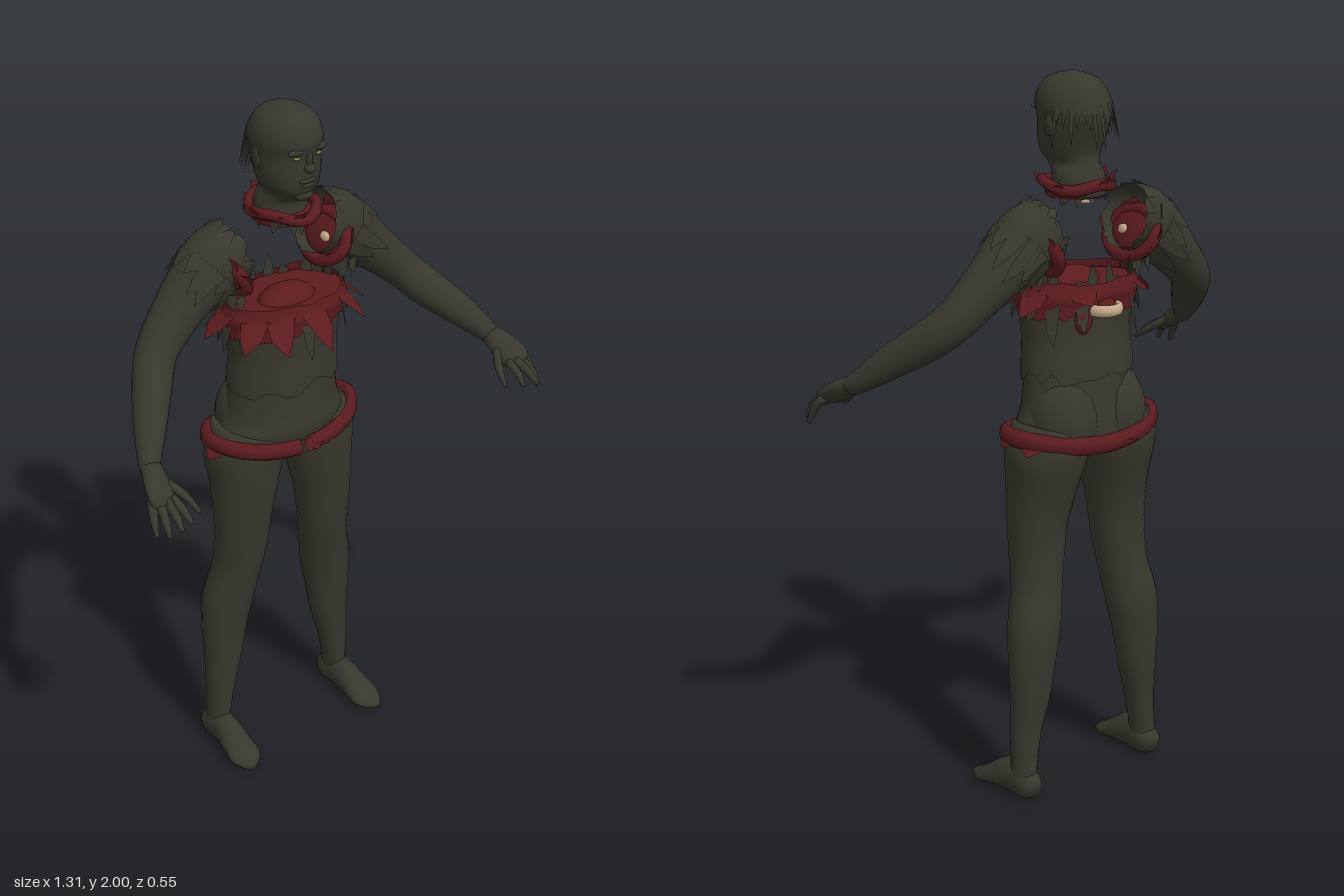
import * as THREE from 'three';

const material = (name, color, side = THREE.FrontSide) => {
  const m = new THREE.MeshStandardMaterial({ color, side });
  m.name = name;
  return m;
};
const V = (x, y, z) => new THREE.Vector3(x, y, z);

export function createModel() {
  const skin = material('dark skin', 0x37372d, THREE.DoubleSide);
  const red = material('torn flesh', 0x5c1b1e, THREE.DoubleSide);
  const bone = material('bone', 0xc6aa8a);
  const eyeMat = material('eye', 0x857a4a);
  const model = new THREE.Group();
  model.name = 'tornFigure';

  let seed = 7;
  const rand = () => (seed = (seed * 16807) % 2147483647) / 2147483647;
  const add = (name, geo, mat) => {
    const mesh = new THREE.Mesh(geo, mat);
    mesh.name = name;
    model.add(mesh);
    return mesh;
  };
  const ball = (name, mat, p, r) => {
    const mesh = add(name, new THREE.SphereGeometry(1, 16, 12), mat);
    mesh.position.set(...p);
    mesh.scale.set(...r);
  };

  // Smooth skin through rows of [x, y, z, radiusU, radiusV]; ends may be ragged or capped
  const loft = (rows, { n = 24, steps = 4, ref = V(0, 0, 1), upright = false, jag0 = 0, jag1 = 0, cap0 = true, cap1 = true } = {}) => {
    const rings = [];
    const row = i => rows[Math.max(0, Math.min(rows.length - 1, i))];
    for (let k = 0; k <= (rows.length - 1) * steps; k++) {
      const i = Math.floor(k / steps), t = k / steps - i;
      rings.push(row(i).map((b, c) => {
        const a = row(i - 1)[c], d = row(i + 1)[c], e = row(i + 2)[c];
        return b + 0.5 * t * (d - a + t * (2 * a - 5 * b + 4 * d - e + t * (3 * (b - d) + e - a)));
      }));
    }
    const pos = [], idx = [], last = rings.length - 1;
    const centre = i => V(...rings[Math.max(0, Math.min(last, i))].slice(0, 3));
    rings.forEach((r, i) => {
      const t = upright ? V(0, 1, 0) : centre(i + 1).sub(centre(i - 1)).normalize();
      const u = ref.clone().cross(t).normalize(), v = t.clone().cross(u);
      for (let j = 0; j < n; j++) {
        const a = j / n * Math.PI * 2;
        const shift = i === 0 ? -jag0 * rand() : i === last ? jag1 * rand() : 0;
        const p = centre(i).addScaledVector(u, Math.cos(a) * r[3]).addScaledVector(v, Math.sin(a) * r[4]).addScaledVector(t, shift);
        pos.push(p.x, p.y, p.z);
        if (i < last) {
          const q = i * n + j, w = i * n + (j + 1) % n;
          idx.push(q, w, q + n, w, w + n, q + n);
        }
      }
    });
    [[cap0, 0], [cap1, last]].forEach(([on, i]) => {
      if (!on) return;
      const c = pos.length / 3;
      pos.push(...rings[i].slice(0, 3));
      for (let j = 0; j < n; j++) {
        const q = i * n + j, w = i * n + (j + 1) % n;
        if (i) idx.push(q, w, c); else idx.push(w, q, c);
      }
    });
    const g = new THREE.BufferGeometry();
    g.setAttribute('position', new THREE.Float32BufferAttribute(pos, 3));
    g.setIndex(idx);
    g.computeVertexNormals();
    return g;
  };

  // Ragged flaps around an ellipse, spreading outward and along its axis
  const shards = (name, mat, c, axis, ru, rv, count, { out = 0.03, along = 0.05, width = 0.02, from = 0, to = Math.PI * 2 }) => {
    const t = axis.clone().normalize(), u = V(0, 0, 1).cross(t).normalize(), v = t.clone().cross(u);
    const pos = [];
    for (let k = 0; k < count; k++) {
      const a = from + (k + 0.6 * rand()) / count * (to - from);
      const rad = u.clone().multiplyScalar(Math.cos(a)).addScaledVector(v, Math.sin(a));
      const tan = v.clone().multiplyScalar(Math.cos(a)).addScaledVector(u, -Math.sin(a));
      const p = V(...c).addScaledVector(u, Math.cos(a) * ru).addScaledVector(v, Math.sin(a) * rv);
      const size = 0.4 + 0.8 * rand();
      const at = (f, w) => p.clone().addScaledVector(rad, out * f * size).addScaledVector(t, along * f * size).addScaledVector(tan, w * width);
      const [A, B, C, D, T] = [at(0, -1), at(0, 1), at(0.6, 0.7), at(0.5, -0.8), at(1, rand() - 0.5)];
      [A, B, C, A, C, D, D, C, T].forEach(q => pos.push(q.x, q.y, q.z));
    }
    const g = new THREE.BufferGeometry();
    g.setAttribute('position', new THREE.Float32BufferAttribute(pos, 3));
    g.computeVertexNormals();
    add(name, g, mat);
  };

  // Rim of flesh along place(angle), closed unless a gap is left at the front
  const rim = (name, place, radius, gap = 0) => {
    const pts = Array.from({ length: 21 }, (_, i) => place(Math.PI / 2 + gap + i / (gap ? 20 : 21) * (Math.PI * 2 - gap)));
    return add(name, new THREE.TubeGeometry(new THREE.CatmullRomCurve3(pts, !gap), 40, radius, 6, !gap), red);
  };
  const UP = V(0, 1, 0), DOWN = V(0, -1, 0);

  // Head and neck
  add('headAndNeck', loft([
    [0, 1.68, -0.115, 0.074, 0.08], [0, 1.735, -0.115, 0.07, 0.07], [0, 1.765, -0.093, 0.06, 0.082],
    [0, 1.79, -0.082, 0.075, 0.088], [0, 1.83, -0.087, 0.086, 0.097], [0, 1.88, -0.097, 0.09, 0.107],
    [0, 1.92, -0.093, 0.093, 0.112], [0, 1.96, -0.09, 0.08, 0.095], [0, 1.985, -0.09, 0.055, 0.065],
    [0, 1.999, -0.09, 0.012, 0.015]], { upright: true, n: 32 }), skin);
  ball('nose', skin, [0, 1.853, 0.011], [0.016, 0.013, 0.018]);
  ball('noseBridge', skin, [0, 1.875, 0.008], [0.009, 0.028, 0.012]);
  ball('upperLip', skin, [0, 1.817, 0.004], [0.028, 0.007, 0.01]);
  ball('lowerLip', skin, [0, 1.804, 0.002], [0.025, 0.008, 0.01]);
  ball('chin', skin, [0, 1.772, -0.015], [0.03, 0.018, 0.02]);
  for (const s of [1, -1]) {
    ball('eye', eyeMat, [s * 0.034, 1.884, 0.003], [0.011, 0.004, 0.006]);
    ball('brow', skin, [s * 0.034, 1.902, 0.004], [0.028, 0.009, 0.01]);
    ball('ear', skin, [s * 0.088, 1.868, -0.1], [0.007, 0.03, 0.018]);
  }
  shards('hairStrands', skin, [0, 1.925, -0.095], DOWN, 0.092, 0.11, 20, { out: 0.022, along: 0.11, width: 0.006, from: Math.PI, to: Math.PI * 2 });

  // Neck wound
  rim('neckRim', a => V(0.083 * Math.cos(a), 1.707 + 0.008 * Math.sin(a * 3), -0.105 + 0.1 * Math.sin(a)), 0.016);
  add('neckWound', new THREE.CylinderGeometry(0.085, 0.08, 0.03, 24), red).position.set(0, 1.692, -0.11);
  add('neckBone', new THREE.CylinderGeometry(0.025, 0.025, 0.02, 10), bone).position.set(0, 1.672, -0.14);
  shards('neckTatters', red, [0, 1.703, -0.105], UP, 0.09, 0.1, 10, { out: 0.02, along: 0.03, width: 0.022 });
  shards('neckShreds', skin, [0, 1.7, -0.105], DOWN, 0.076, 0.088, 18, { out: 0, along: 0.042, width: 0.013 });

  // Pelvis and belly, the belly skin overlapping with a ragged edge
  add('pelvis', loft([
    [0, 1.0, -0.125, 0.03, 0.06], [0, 1.025, -0.125, 0.15, 0.11], [0, 1.06, -0.12, 0.195, 0.12], [0, 1.11, -0.118, 0.178, 0.118],
    [0, 1.16, -0.116, 0.169, 0.115], [0, 1.24, -0.112, 0.161, 0.111]], { upright: true, n: 32 }), skin);
  add('belly', loft([
    [0, 1.225, -0.113, 0.171, 0.12], [0, 1.3, -0.108, 0.167, 0.113], [0, 1.37, -0.106, 0.175, 0.113],
    [0, 1.43, -0.106, 0.182, 0.116]], { upright: true, n: 32, jag0: 0.04, cap0: false, cap1: false }), skin);
  for (const s of [1, -1]) ball('buttock', skin, [s * 0.083, 1.075, -0.152], [0.1, 0.14, 0.1]);

  // Waist wound
  add('waistWound', new THREE.CylinderGeometry(1, 1, 0.02, 32).scale(0.182, 1, 0.115).translate(0, 1.435, -0.107), red);
  add('waistRim', loft([
    [0, 1.395, -0.106, 0.186, 0.12], [0, 1.425, -0.106, 0.194, 0.128], [0, 1.455, -0.106, 0.184, 0.118]],
    { upright: true, n: 28, jag0: 0.035, jag1: 0.015, cap0: false, cap1: false }), red);
  ball('innards', red, [0, 1.435, -0.09], [0.09, 0.045, 0.06]);
  shards('waistFlaps', red, [0, 1.44, -0.106], DOWN, 0.185, 0.12, 9, { out: 0.08, along: 0.07, width: 0.04, from: -1.2, to: 4.3 });
  shards('waistShreds', skin, [0, 1.41, -0.106], DOWN, 0.186, 0.12, 12, { out: 0.02, along: 0.12, width: 0.02, from: -1.2, to: 4.3 });
  shards('waistSpikes', skin, [0, 1.43, -0.106], UP, 0.17, 0.11, 10, { out: 0, along: 0.08, width: 0.018, from: Math.PI, to: Math.PI * 2 });

  // Exposed spine at the back of the waist
  const arch = add('vertebraArch', new THREE.TorusGeometry(0.042, 0.011, 8, 16, Math.PI), bone);
  arch.position.set(-0.003, 1.388, -0.217);
  arch.rotation.x = -Math.PI / 2;
  arch.scale.z = 1.5;
  ball('vertebraFlesh', red, [-0.003, 1.395, -0.22], [0.032, 0.024, 0.03]);
  ball('backClot', red, [0.06, 1.365, -0.21], [0.028, 0.04, 0.016]);

  // Hip ring, a tall band dipping at the front and split near the middle
  const hipRing = rim('hipRing', a => V(0.232 * Math.cos(a), 0.011 * Math.cos(2 * a), -0.125 + 0.135 * Math.sin(a)), 0.02, 0.14);
  hipRing.scale.y = 1.3;
  hipRing.position.y = 1.04;
  shards('hipTatters', red, [0, 1.045, -0.125], DOWN, 0.23, 0.137, 9, { out: 0.025, along: 0.03, width: 0.035 });

  for (const s of [1, -1]) {
    const side = s > 0 ? 'left' : 'right';
    const mirror = rows => rows.map(([x, ...rest]) => [s * x, ...rest]);

    // Leg and foot
    add(side + 'Leg', loft(mirror([
      [0.224, 0.04, -0.155, 0.035, 0.042], [0.219, 0.1, -0.15, 0.034, 0.042], [0.21, 0.2, -0.147, 0.044, 0.045],
      [0.197, 0.3, -0.15, 0.057, 0.054], [0.19, 0.4, -0.15, 0.069, 0.06], [0.178, 0.5, -0.145, 0.077, 0.069],
      [0.158, 0.6, -0.13, 0.073, 0.07], [0.147, 0.7, -0.118, 0.077, 0.077], [0.141, 0.8, -0.115, 0.085, 0.084],
      [0.131, 0.9, -0.12, 0.098, 0.1], [0.122, 1, -0.13, 0.114, 0.115], [0.108, 1.06, -0.13, 0.092, 0.11]])), skin);
    add(side + 'Foot', loft(mirror([
      [0.22, 0.035, -0.205, 0.018, 0.022], [0.221, 0.044, -0.18, 0.036, 0.042], [0.223, 0.054, -0.11, 0.038, 0.052],
      [0.227, 0.035, -0.04, 0.045, 0.034], [0.23, 0.022, 0, 0.048, 0.021], [0.235, 0.015, 0.03, 0.03, 0.014],
      [0.237, 0.012, 0.046, 0.01, 0.009]]), { ref: UP, n: 20 }), skin);

    // Arm, hand and fingers
    add(side + 'Arm', loft(mirror([
      [0.152, 1.603, -0.145, 0.089, 0.086], [0.2, 1.587, -0.145, 0.091, 0.085], [0.25, 1.548, -0.143, 0.083, 0.079], [0.33, 1.478, -0.135, 0.067, 0.067],
      [0.41, 1.4, -0.112, 0.056, 0.058], [0.465, 1.34, -0.055, 0.054, 0.052], [0.525, 1.28, 0.02, 0.045, 0.043],
      [0.573, 1.225, 0.085, 0.031, 0.03], [0.584, 1.21, 0.11, 0.029, 0.025]]), { jag0: 0.025, cap0: false }), skin);
    add(side + 'Palm', loft(mirror([
      [0.578, 1.218, 0.1, 0.029, 0.024], [0.591, 1.192, 0.145, 0.041, 0.023], [0.602, 1.168, 0.185, 0.042, 0.018],
      [0.605, 1.158, 0.2, 0.03, 0.011]]), { n: 16 }), skin);
    const fingers = [
      [[0.568, 1.19, 0.14], [0.537, 1.16, 0.185], [0.522, 1.125, 0.233]], [[0.573, 1.165, 0.185], [0.57, 1.147, 0.23], [0.566, 1.122, 0.26]],
      [[0.594, 1.168, 0.19], [0.6, 1.148, 0.24], [0.605, 1.122, 0.273]], [[0.613, 1.168, 0.185], [0.624, 1.138, 0.227], [0.63, 1.1, 0.253]],
      [[0.629, 1.17, 0.175], [0.642, 1.138, 0.2], [0.647, 1.095, 0.22]]];
    fingers.forEach((f, i) => add(side + (i ? 'Finger' : 'Thumb'),
      loft(mirror(f.map((p, k) => [...p, [0.0125, 0.0115, 0.006][k], [0.0125, 0.0115, 0.006][k]])), { n: 10, steps: 3 }), skin));

    // Shoulder wound facing the missing chest
    const axis = V(s * 0.88, -0.47, 0).normalize(), u = V(0, 0, 1).cross(axis), c = V(s * 0.18, 1.565, -0.14);
    rim(side + 'ShoulderRim', a => c.clone().addScaledVector(u, s * Math.cos(a) * 0.066 - s * 0.012).add(V(-s * 0.008, 0, Math.sin(a) * 0.09)), 0.018);
    const wound = add(side + 'ShoulderWound', new THREE.SphereGeometry(1, 24, 12).scale(0.072, 0.025, 0.086), red);
    wound.position.copy(c);
    wound.quaternion.setFromUnitVectors(UP, axis);
    ball(side + 'ShoulderBone', bone, [c.x - s * 0.023, c.y - 0.004, c.z + 0.02], [0.012, 0.016, 0.02]);
    shards(side + 'ShoulderTatters', red, c.toArray(), axis, 0.07, 0.092, 10, { out: 0.03, along: -0.02, width: 0.024 });

    // Torn skin over the upper arm and under the armpit
    shards(side + 'SleeveShreds', skin, [s * 0.215, 1.573, -0.144], V(s * 0.77, -0.64, 0), 0.091, 0.088, 14, { out: -0.004, along: 0.12, width: 0.024 });
    shards(side + 'ShoulderSpikes', skin, [s * 0.165, 1.6, -0.145], V(-s * 0.94, 0.34, 0), 0.09, 0.086, 12, { out: 0.004, along: 0.035, width: 0.018 });
    shards(side + 'ArmpitShreds', skin, [s * 0.185, 1.52, -0.11], DOWN, 0.02, 0.07, 6, { out: 0.005, along: 0.1, width: 0.016 });
  }
  return model;
}
